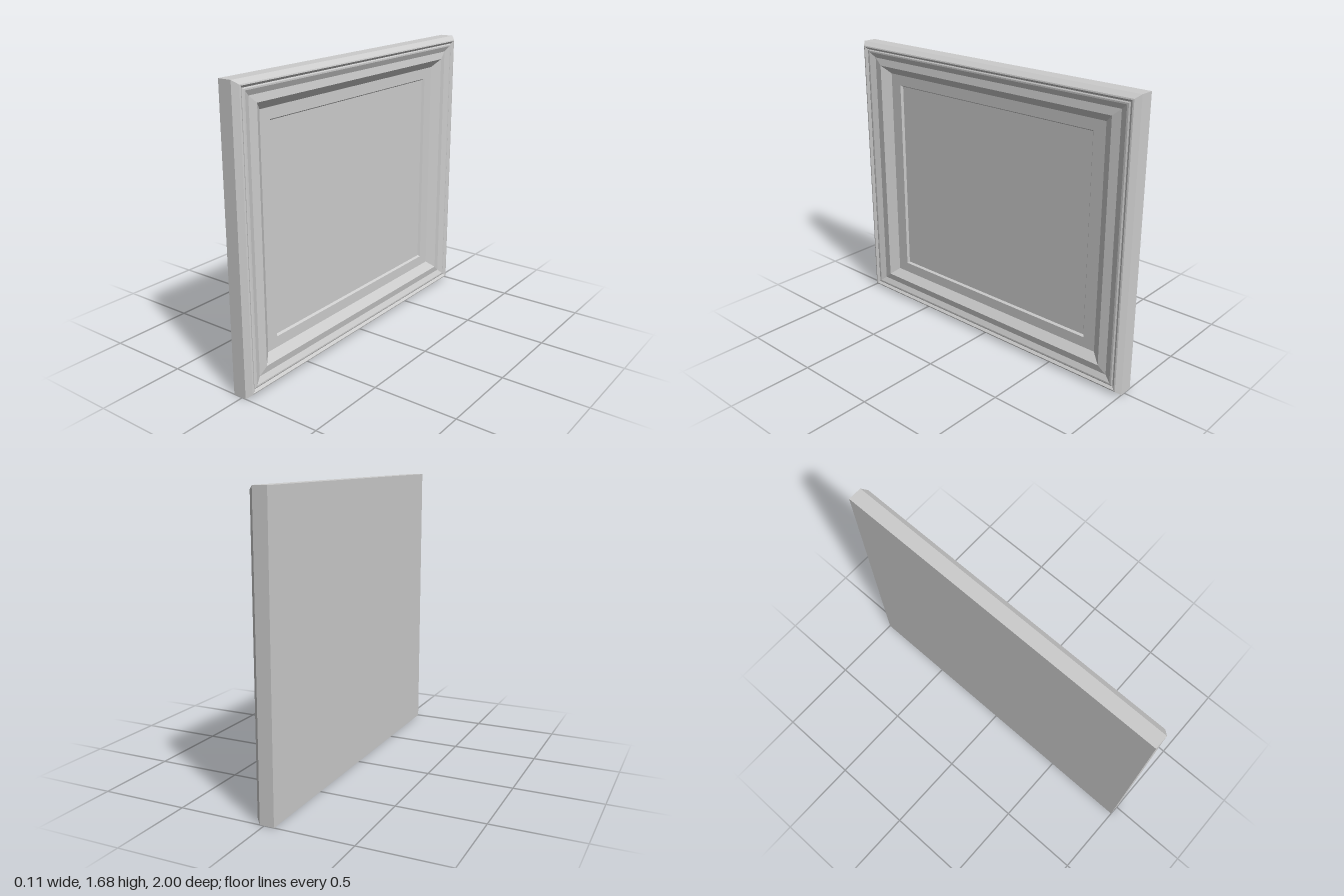
import * as THREE from 'three';

const HALF_H = 0.84;

// Rectangular ring of corners, counter-clockwise seen from +x
const ring = ([s, x]) =>
  [[1, -1], [-1, -1], [-1, 1], [1, 1]].map(([z, y]) => [x, HALF_H * (1 + y * s), z * s]);

// Flat-faced mesh from a list of four-cornered faces
function quadMesh(name, quads, material) {
  const pos = [];
  for (const [a, b, c, d] of quads) pos.push(...a, ...b, ...c, ...a, ...c, ...d);
  const geo = new THREE.BufferGeometry();
  geo.setAttribute('position', new THREE.Float32BufferAttribute(pos, 3));
  geo.computeVertexNormals();
  const mesh = new THREE.Mesh(geo, material);
  mesh.name = name;
  return mesh;
}

// Mitred faces joining successive rings of a [scale, depth] profile
function loft(profile) {
  const quads = [];
  for (let i = 0; i < profile.length - 1; i++) {
    const a = ring(profile[i]), b = ring(profile[i + 1]);
    for (let k = 0; k < 4; k++) {
      const n = (k + 1) % 4;
      quads.push([a[k], a[n], b[n], b[k]]);
    }
  }
  return quads;
}

export function createModel() {
  const grey = new THREE.MeshStandardMaterial({ color: 0xcccccc });
  grey.name = 'light grey';

  const group = new THREE.Group();
  group.name = 'pictureFrame';

  // Moulding, from the back edge over the lip and inward
  const moulding = [
    [1, -0.057], [1, 0.025], [0.974, 0.053], [0.966, 0.055], [0.95, 0.043],
    [0.942, 0.047], [0.932, 0.047], [0.895, 0.032], [0.845, 0.039], [0.79, 0],
  ];
  // Flat mount with a small step down to the picture
  const mount = [[0.79, 0], [0.715, 0], [0.705, -0.013]];

  group.add(
    quadMesh('moulding', loft(moulding), grey),
    quadMesh('mount', loft(mount), grey),
    quadMesh('picturePanel', [ring(mount[2])], grey),
    quadMesh('backBoard', [ring(moulding[0]).reverse()], grey),
  );
  return group;
}
